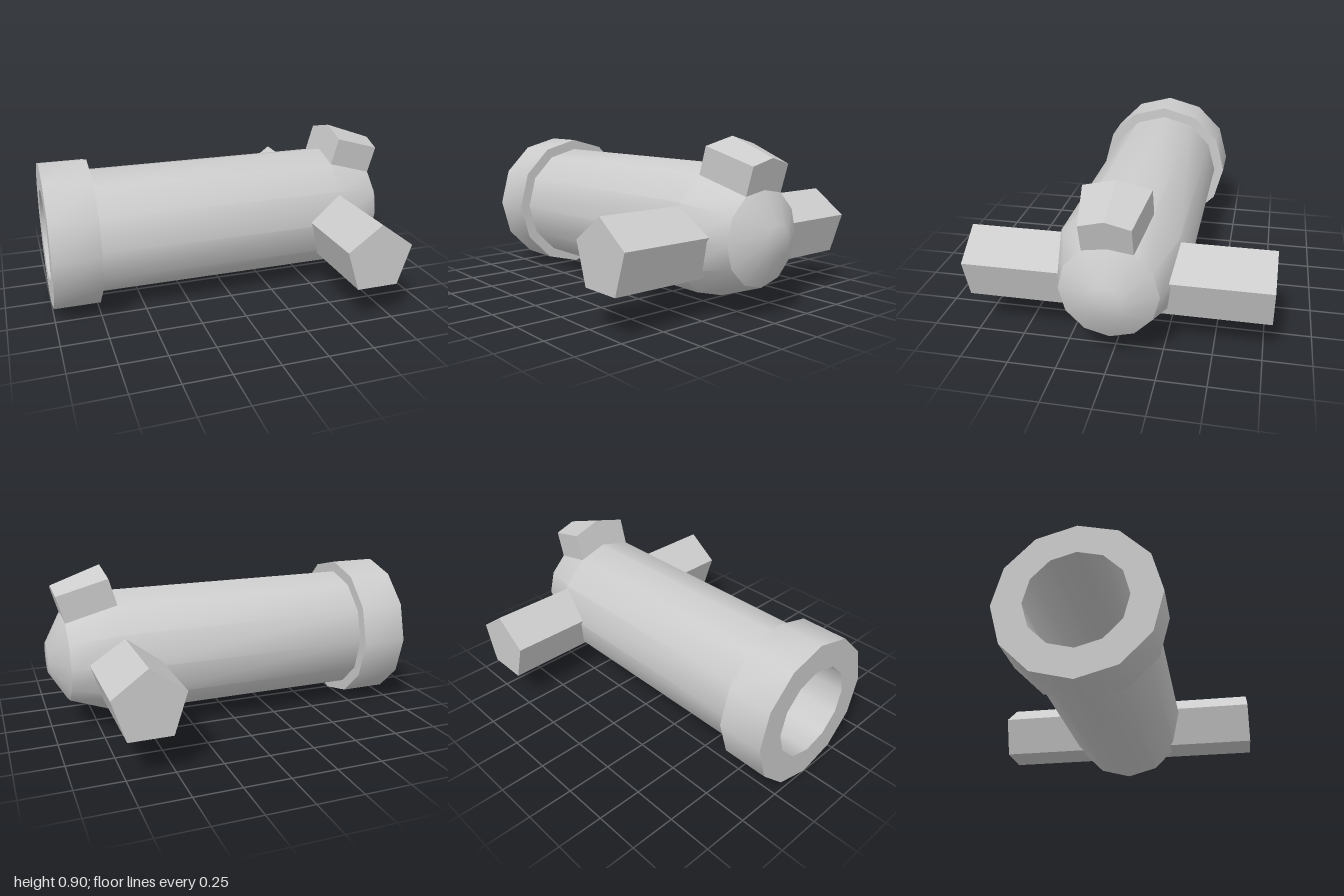
import * as THREE from 'three';
import { toCreasedNormals } from 'three/addons/utils/BufferGeometryUtils.js';
import { ConvexGeometry } from 'three/addons/geometries/ConvexGeometry.js';

const AXIS_Y = 0.413;
const AXIS_Z = -0.004;
const material = new THREE.MeshStandardMaterial({ color: 0xcccccc });

function addMesh(group, name, geometry) {
  const mesh = new THREE.Mesh(geometry, material);
  mesh.name = name;
  group.add(mesh);
  return mesh;
}

// Twelve-sided turned part along x; profile is [radius, x]
function turned(profile) {
  const points = profile.map(([r, x]) => new THREE.Vector2(r, x));
  const geometry = new THREE.LatheGeometry(points, 12);
  geometry.rotateZ(-Math.PI / 2);
  geometry.translate(0, AXIS_Y, 0);
  return toCreasedNormals(geometry, 0.6);
}

export function createModel() {
  const model = new THREE.Group();
  model.name = 'model';
  model.position.z = AXIS_Z;

  // Barrel with tapered front and blunt nose
  addMesh(model, 'barrel', turned([
    [0.348, -0.77], [0.348, 0.635], [0.25, 0.905], [0.085, 1], [0, 1],
  ]));

  // Thick collar around the open rear end
  addMesh(model, 'rearCollar', turned([
    [0.255, -1], [0.408, -1], [0.408, -0.745], [0.34, -0.745],
  ]));

  // Hollow inside, closed behind the nose
  addMesh(model, 'bore', turned([
    [0, 0.86], [0.17, 0.86], [0.255, 0.62], [0.255, -1],
  ]));

  // Pentagonal side pegs
  const pentagon = new THREE.Shape();
  for (let i = 0; i < 5; i++) {
    const a = Math.PI / 2 + (i * 2 * Math.PI) / 5;
    const x = 0.63 + 0.194 * Math.cos(a);
    const y = 0.376 + 0.194 * Math.sin(a);
    if (i === 0) pentagon.moveTo(x, y);
    else pentagon.lineTo(x, y);
  }
  pentagon.closePath();
  const inner = 0.2, outer = 0.783;
  for (const [name, start] of [['frontPeg', inner], ['backPeg', -outer]]) {
    const geometry = new THREE.ExtrudeGeometry(pentagon, {
      depth: outer - inner, bevelEnabled: false,
    });
    geometry.translate(0, 0, start);
    addMesh(model, name, geometry);
  }

  // Ridged block on top, narrowing and tilting toward the nose
  const sections = [
    { apex: [0.69, 0.905], shoulder: [0.677, 0.86], foot: [0.608, 0.62], half: 0.173 },
    { apex: [0.957, 0.81], shoulder: [0.947, 0.775], foot: [0.888, 0.57], half: 0.126 },
  ];
  const corners = [];
  for (const { apex, shoulder, foot, half } of sections) {
    corners.push(new THREE.Vector3(...apex, 0));
    for (const side of [-half, half]) {
      corners.push(new THREE.Vector3(...shoulder, side));
      corners.push(new THREE.Vector3(...foot, side));
    }
  }
  addMesh(model, 'topBlock', new ConvexGeometry(corners));

  return model;
}
